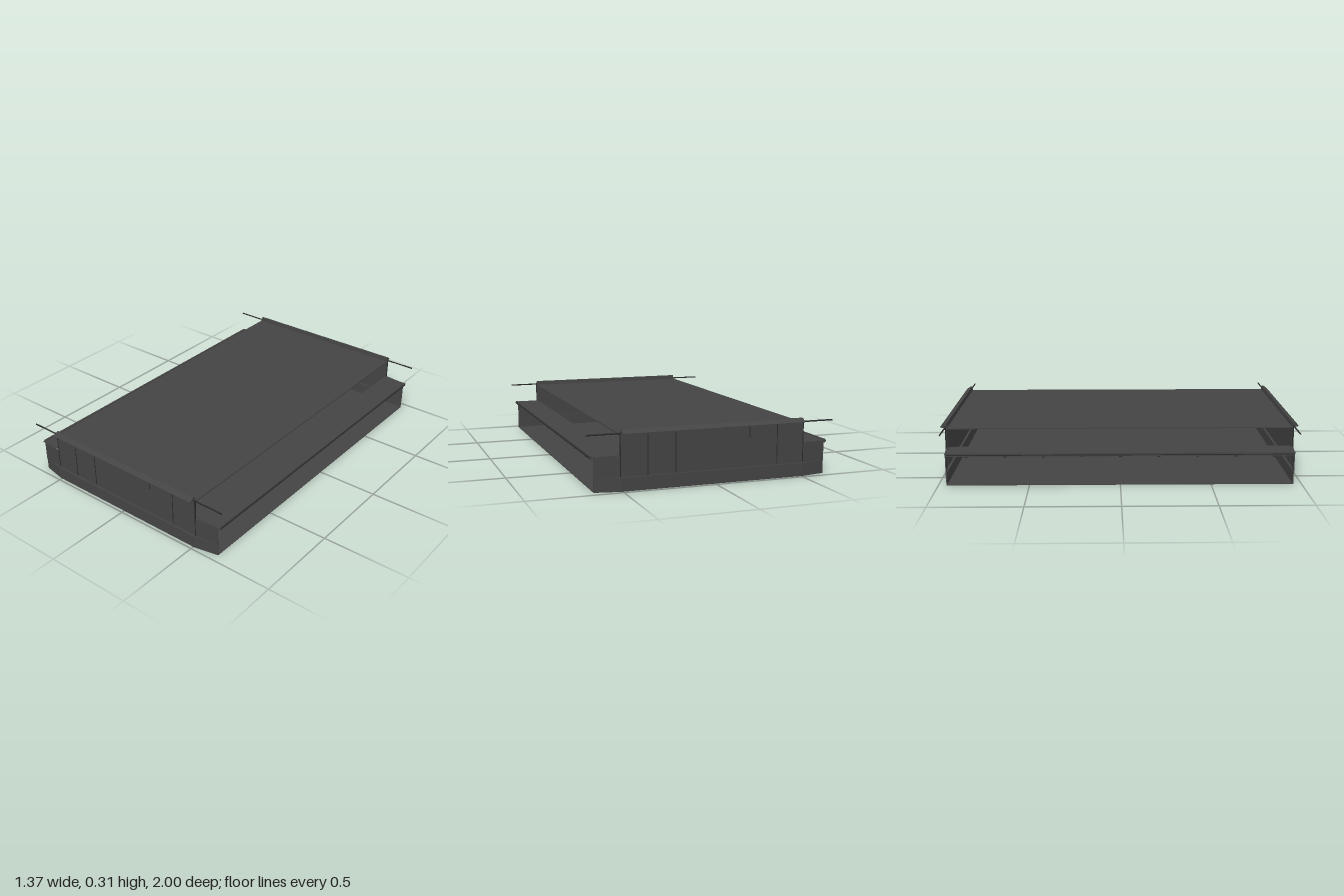
import * as THREE from 'three';

export function createModel() {
  const model = new THREE.Group();
  const steel = new THREE.MeshStandardMaterial({ color: 0x444444 });
  steel.name = 'dark grey steel';
  const trim = new THREE.MeshStandardMaterial({ color: 0x2a2a2a });
  trim.name = 'near black trim';

  function add(parent, geometry, material, name) {
    const mesh = new THREE.Mesh(geometry, material);
    mesh.name = name;
    parent.add(mesh);
    return mesh;
  }

  // Box given by its lower and upper limits on each axis
  function box(parent, name, material, [x0, x1], [y0, y1], [z0, z1]) {
    const mesh = add(parent, new THREE.BoxGeometry(x1 - x0, y1 - y0, z1 - z0), material, name);
    mesh.position.set((x0 + x1) / 2, (y0 + y1) / 2, (z0 + z1) / 2);
    return mesh;
  }

  // Horizontal plan outline of [x, z] points, raised from y0 to y1
  function slab(parent, name, material, plan, y0, y1) {
    const shape = new THREE.Shape(plan.map(([x, z]) => new THREE.Vector2(x, -z)));
    const geometry = new THREE.ExtrudeGeometry(shape, { depth: y1 - y0, bevelEnabled: false });
    geometry.rotateX(-Math.PI / 2).translate(0, y0, 0);
    return add(parent, geometry, material, name);
  }

  // Floor with clipped corners
  const bow = [[-0.645, 0.955], [-0.51, 0.982], [0.51, 0.982], [0.645, 0.955]];
  const stern = bow.map(([x, z]) => [-x, -z]);
  slab(model, 'floor', steel, [...bow, ...stern], 0, 0.004);

  // Raised centre deck
  box(model, 'topDeck', steel, [-0.51, 0.51], [0.284, 0.29], [-0.965, 0.965]);

  // Side shelves with outer rails and small bolts below
  for (const s of [-1, 1]) {
    const side = new THREE.Group();
    side.name = s > 0 ? 'leftShelf' : 'rightShelf';
    model.add(side);
    const span = (a, b) => (s > 0 ? [a, b] : [-b, -a]);
    box(side, 'shelfPlate', steel, span(0.505, 0.66), [0.178, 0.182], [-0.958, 0.958]);
    box(side, 'shelfRail', steel, span(0.648, 0.66), [0.168, 0.186], [-0.95, 0.95]);
    box(side, 'railGroove', trim, span(0.659, 0.663), [0.174, 0.178], [-0.95, 0.95]);
    for (let i = 0; i < 9; i++) {
      const z = -0.84 + i * 0.21;
      box(side, 'railBolt', trim, span(0.642, 0.656), [0.162, 0.17], [z - 0.008, z + 0.008]);
    }
  }

  // End wall, built at the front and turned round for the back
  function endWall(name) {
    const end = new THREE.Group();
    end.name = name;
    model.add(end);

    slab(end, 'lowerWall', steel, [...bow, [0.645, 0.95], [-0.645, 0.95]], 0, 0.072);
    box(end, 'centreWall', steel, [-0.51, 0.51], [0.07, 0.295], [0.963, 0.972]);

    for (const s of [-1, 1]) {
      const plan = [[0.51, 0.972], [0.645, 0.957], [0.645, 0.952], [0.51, 0.965]];
      slab(end, 'wingWall', steel, plan.map(([x, z]) => [s * x, z]), 0.07, 0.18);
      box(end, 'wallCorner', trim, [s * 0.51 - 0.002, s * 0.51 + 0.002], [0.072, 0.29], [0.966, 0.974]);
    }

    // Seams of the wall panels
    for (const [x, y0] of [[-0.365, 0.074], [-0.215, 0.074], [0.197, 0.23], [0.357, 0.074]]) {
      box(end, 'panelSeam', trim, [x - 0.002, x + 0.002], [y0, 0.288], [0.97, 0.9735]);
    }

    // Sloping cap along the top edge
    const cap = new THREE.Shape();
    [[0.962, 0.29], [0.978, 0.29], [1.0, 0.293], [1.0, 0.297], [0.976, 0.315], [0.965, 0.315]]
      .forEach(([z, y], i) => (i ? cap.lineTo(-z, y) : cap.moveTo(-z, y)));
    const capGeometry = new THREE.ExtrudeGeometry(cap, { depth: 1.01, bevelEnabled: false });
    capGeometry.rotateY(Math.PI / 2).translate(-0.505, 0, 0);
    add(end, capGeometry, steel, 'topCap');

    // Long thin rod reaching past both sides
    const rod = new THREE.CylinderGeometry(0.004, 0.004, 1.37, 8).rotateZ(Math.PI / 2);
    add(end, rod, trim, 'crossRod').position.set(0, 0.295, 0.972);
    return end;
  }
  endWall('frontEnd');
  endWall('backEnd').rotation.y = Math.PI;

  return model;
}
